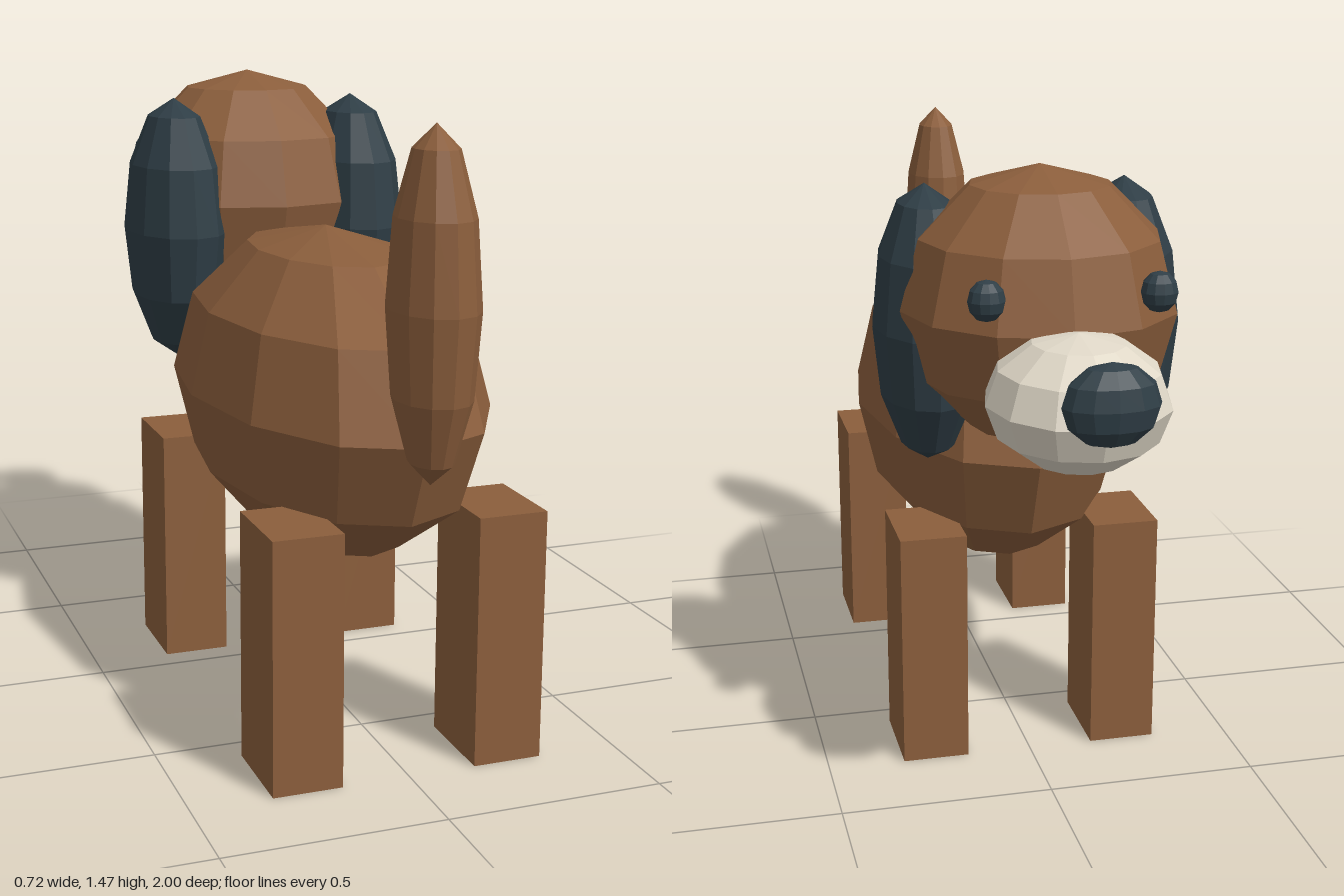
import * as THREE from 'three';

const paint = (color) => new THREE.MeshStandardMaterial({ color, flatShading: true });

export function createModel() {
  const dog = new THREE.Group();
  dog.name = 'dog';
  const brown = paint(0x8b5e3c);
  const dark = paint(0x2f3e46);
  const cream = paint(0xe0d8c8);

  // Every rounded part is the same faceted ball, stretched to its radii
  const ball = new THREE.SphereGeometry(1, 12, 6);
  const blob = (name, material, radii, position) => {
    const mesh = new THREE.Mesh(ball, material);
    mesh.name = name;
    mesh.scale.set(...radii);
    mesh.position.set(...position);
    dog.add(mesh);
  };

  // Body, head and tail; the animal looks towards -z
  blob('body', brown, [0.33, 0.382, 0.617], [0, 0.762, 0.245]);
  blob('head', brown, [0.318, 0.318, 0.318], [0, 1.148, -0.348]);
  blob('tail', brown, [0.093, 0.372, 0.125], [0, 1.062, 0.872]);

  // Muzzle
  blob('snout', cream, [0.2, 0.147, 0.23], [0, 1.02, -0.688]);
  blob('nose', dark, [0.103, 0.088, 0.06], [0, 1.084, -0.94]);

  // Mirrored parts
  const legGeometry = new THREE.BoxGeometry(0.16, 0.576, 0.222);
  for (const [side, s] of [['left', 1], ['right', -1]]) {
    blob(`${side}Ear`, dark, [0.125, 0.327, 0.198], [s * 0.235, 1.082, -0.214]);
    blob(`${side}Eye`, dark, [0.041, 0.045, 0.037], [s * 0.187, 1.235, -0.648]);
    for (const [end, z] of [['front', -0.174], ['back', 0.679]]) {
      const leg = new THREE.Mesh(legGeometry, brown);
      leg.name = `${side}${end === 'front' ? 'Front' : 'Back'}Leg`;
      leg.position.set(s * 0.236, 0.288, z);
      dog.add(leg);
    }
  }
  return dog;
}
